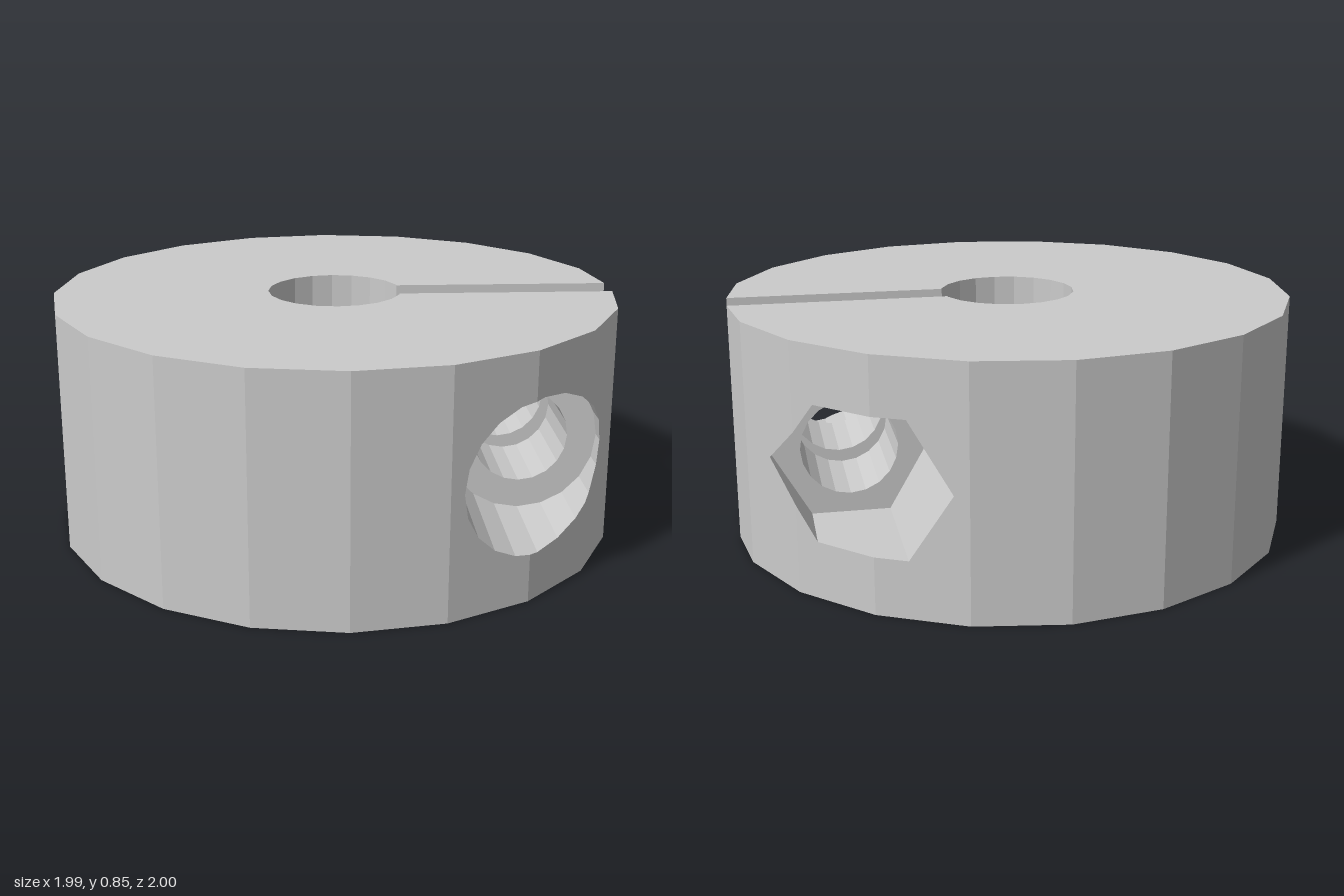
import * as THREE from 'three';

const SIDES = 20;
const R = 1, BORE = 0.238, H = 0.845, GAP = 0.0625;      // collar body and slot half-width
const SX = 0.617, SY = H / 2, SCREW = 0.163;             // clamping screw axis
const HEAD = 0.2625, NUT = 0.263, FLOOR = 0.395;         // screw head and nut recesses

const material = new THREE.MeshStandardMaterial({ color: 0xcccccc, flatShading: true, side: THREE.DoubleSide });

// x positions of a polygon's corners, from left to right
const cornersX = (n, r) => Array.from({ length: n / 2 + 1 }, (_, k) => -r * Math.cos((k * 2 * Math.PI) / n));

// half-height of a regular polygon (corner on the x axis) at x
function halfHeight(n, r, x) {
  if (Math.abs(x) >= r - 1e-9) return 0;
  const step = (2 * Math.PI) / n;
  const k = Math.floor(Math.acos(x / r) / step);
  const x0 = r * Math.cos(k * step), x1 = r * Math.cos((k + 1) * step);
  const y0 = r * Math.sin(k * step), y1 = r * Math.sin((k + 1) * step);
  return y0 + ((y1 - y0) * (x - x0)) / (x1 - x0);
}

// x where the slot face meets the first side of a polygon
function slotX(r) {
  const a = (2 * Math.PI) / SIDES;
  return r - (GAP * (r - r * Math.cos(a))) / (r * Math.sin(a));
}
const OUT_X = slotX(R), IN_X = slotX(BORE);

// one half (front or back) of the profile, left to right, ending at the slot
const profileX = (r, end) => [...cornersX(SIDES, r).filter((x) => x < end - 1e-6), end];

function quad(out, a, b, c, d, flip) {
  const q = flip ? [a, d, c, b] : [a, b, c, d];
  for (const i of [0, 1, 2, 0, 2, 3]) out.push(...q[i]);
}

function meshFrom(points, name) {
  const geometry = new THREE.BufferGeometry();
  geometry.setAttribute('position', new THREE.Float32BufferAttribute(points, 3));
  geometry.computeVertexNormals();
  return named(geometry, name);
}

function named(geometry, name) {
  const mesh = new THREE.Mesh(geometry, material);
  mesh.name = name;
  return mesh;
}

function polygonPoints(n, r, cx, cy) {
  return Array.from({ length: n }, (_, i) => {
    const a = (i * 2 * Math.PI) / n;
    return new THREE.Vector2(cx + r * Math.cos(a), cy + r * Math.sin(a));
  });
}

// flat face across the screw axis, pierced by the screw hole, facing +z or -z
function piercedFace(outline, z, facing, name) {
  const shape = new THREE.Shape(outline);
  shape.holes.push(new THREE.Path(polygonPoints(SIDES, SCREW, SX, SY)));
  const geometry = new THREE.ShapeGeometry(shape);
  if (facing < 0) geometry.rotateY(Math.PI).scale(-1, 1, 1);
  if (facing < 0) {
    // restore outward winding after the reflection
    const index = geometry.index;
    for (let i = 0; i < index.count; i += 3) {
      const t = index.getX(i);
      index.setX(i, index.getX(i + 2));
      index.setX(i + 2, t);
    }
    geometry.computeVertexNormals();
  }
  geometry.translate(0, 0, z);
  return named(geometry, name);
}

// outer wall of one half with a polygonal recess cut parallel to z
function outerHalf(s, n, r, label) {
  const wall = [], recess = [];
  const cuts = [...profileX(R, OUT_X), ...cornersX(n, r).map((x) => x + SX)].sort((a, b) => a - b);
  for (let i = 0; i + 1 < cuts.length; i++) {
    const x0 = cuts[i], x1 = cuts[i + 1];
    if (x1 - x0 < 1e-6) continue;
    const z0 = s * halfHeight(SIDES, R, x0), z1 = s * halfHeight(SIDES, R, x1);
    const h0 = halfHeight(n, r, x0 - SX), h1 = halfHeight(n, r, x1 - SX);
    const panel = (a0, a1, b0, b1) =>
      quad(wall, [x0, a0, z0], [x1, a1, z1], [x1, b1, z1], [x0, b0, z0], s < 0);
    if (h0 + h1 < 1e-6) {
      panel(0, 0, H, H);
      continue;
    }
    panel(0, 0, SY - h0, SY - h1);
    panel(SY + h0, SY + h1, H, H);
    for (const v of [1, -1]) {
      const y0 = SY + v * h0, y1 = SY + v * h1;
      quad(recess, [x0, y0, s * FLOOR], [x1, y1, s * FLOOR], [x1, y1, z1], [x0, y0, z0], s * v < 0);
    }
  }
  return [meshFrom(wall, label + 'OuterWall'), meshFrom(recess, label + 'RecessWall')];
}

// inner wall of one half of the shaft bore
function boreHalf(s, label) {
  const wall = [], xs = profileX(BORE, IN_X);
  for (let i = 0; i + 1 < xs.length; i++) {
    const [x0, x1] = [xs[i], xs[i + 1]];
    const z0 = s * halfHeight(SIDES, BORE, x0), z1 = s * halfHeight(SIDES, BORE, x1);
    quad(wall, [x0, 0, z0], [x1, 0, z1], [x1, H, z1], [x0, H, z0], s > 0);
  }
  return meshFrom(wall, label + 'BoreWall');
}

// screw hole between the recess floor and the slot
function screwHole(s, label) {
  const wall = [], p = polygonPoints(SIDES, SCREW, SX, SY);
  p.forEach((a, i) => {
    const b = p[(i + 1) % SIDES];
    quad(wall, [a.x, a.y, s * GAP], [b.x, b.y, s * GAP], [b.x, b.y, s * FLOOR], [a.x, a.y, s * FLOOR], s > 0);
  });
  return meshFrom(wall, label + 'ScrewHole');
}

// C-shaped top and bottom faces
function cap(top) {
  const half = (r, end, s) => profileX(r, end).map((x) => new THREE.Vector2(x, s * halfHeight(SIDES, r, x)));
  const outline = [
    ...half(R, OUT_X, 1).reverse(), ...half(R, OUT_X, -1).slice(1),
    ...half(BORE, IN_X, -1).reverse(), ...half(BORE, IN_X, 1).slice(1),
  ];
  const geometry = new THREE.ShapeGeometry(new THREE.Shape(outline));
  geometry.rotateX(top ? -Math.PI / 2 : Math.PI / 2).translate(0, top ? H : 0, 0);
  return named(geometry, top ? 'topFace' : 'bottomFace');
}

export function createModel() {
  const group = new THREE.Group();
  group.name = 'clampCollar';
  group.add(cap(true), cap(false));

  const slotOutline = [[IN_X, 0], [OUT_X, 0], [OUT_X, H], [IN_X, H]].map(([x, y]) => new THREE.Vector2(x, y));
  // round head recess in front, hexagonal nut recess behind
  for (const [s, n, r, label] of [[1, SIDES, HEAD, 'front'], [-1, 6, NUT, 'back']]) {
    group.add(
      ...outerHalf(s, n, r, label),
      boreHalf(s, label),
      screwHole(s, label),
      piercedFace(polygonPoints(n, r, SX, SY), s * FLOOR, s, label + 'RecessFloor'),
      piercedFace(slotOutline, s * GAP, -s, label + 'SlotFace'),
    );
  }

  // centre the collar, as the slot trims its +x corner
  for (const part of group.children) part.position.x = (R - OUT_X) / 2;
  return group;
}
